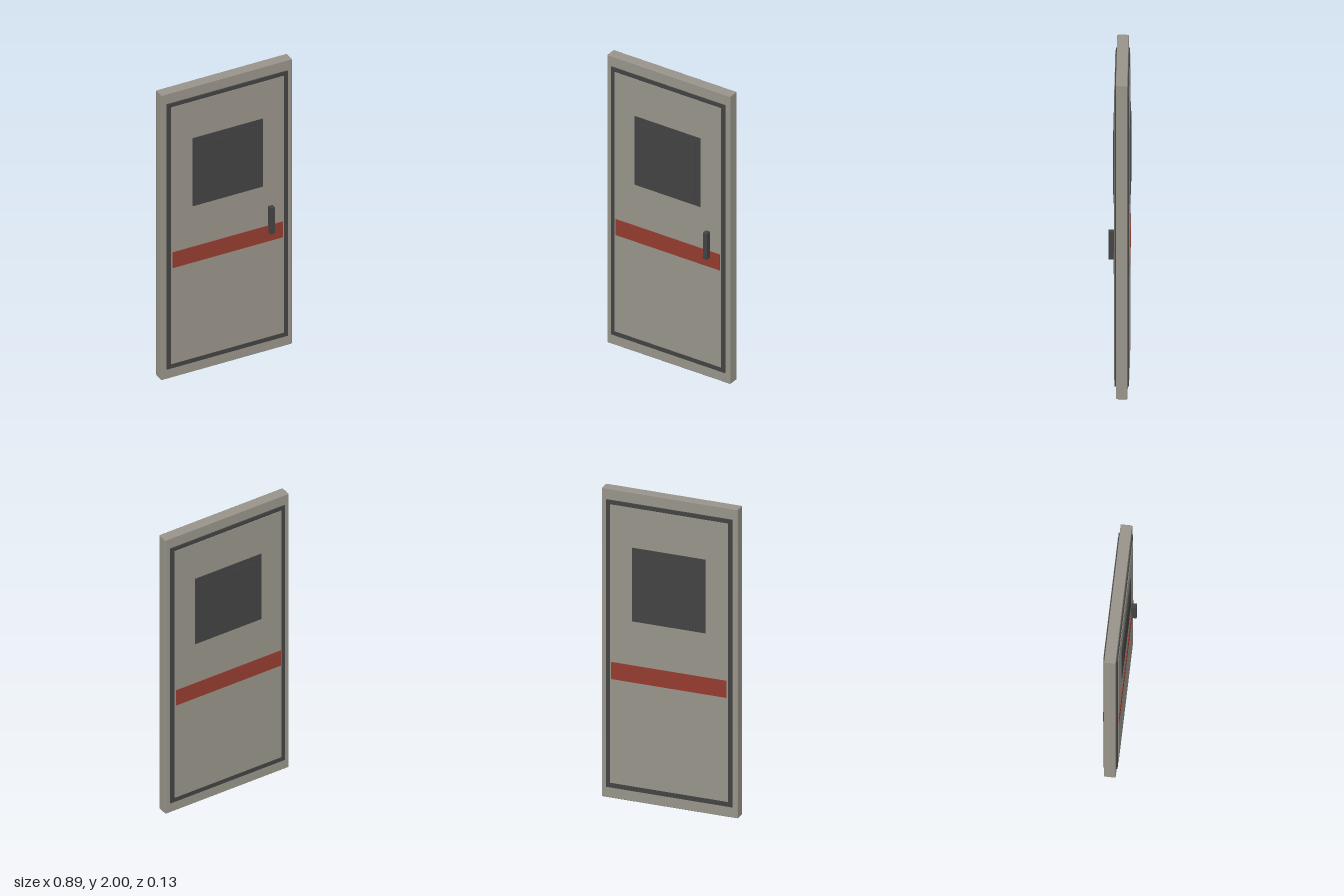
import * as THREE from 'three';
import { RoundedBoxGeometry } from 'three/addons/geometries/RoundedBoxGeometry.js';

export function createModel() {
  const door = new THREE.Group();
  door.name = 'door';
  const mat = (name, color) => {
    const m = new THREE.MeshStandardMaterial({ color });
    m.name = name;
    return m;
  };
  const grey = mat('warmGrey', 0x98948a);
  const dark = mat('charcoal', 0x434343);
  const red = mat('rustRed', 0x953c2f);

  const add = (parent, name, geometry, material, x, y, z) => {
    const mesh = new THREE.Mesh(geometry, material);
    mesh.name = name;
    mesh.position.set(x, y, z);
    parent.add(mesh);
  };

  // Main slab with slightly eased edges
  const slabZ = -0.015, half = 0.035;
  add(door, 'slab', new RoundedBoxGeometry(0.886, 2, half * 2, 1, 0.004), grey, 0, 1, slabZ);

  // Stepped plates on both faces: [name, width, bottom, top, height above slab, material]
  const plates = [
    ['trimPanel', 0.82, 0.07, 1.93, 0.008, dark],
    ['facePanel', 0.766, 0.102, 1.904, 0.011, grey],
    ['stripe', 0.75, 0.776, 0.886, 0.0145, red],
    ['windowFrame', 0.474, 1.172, 1.648, 0.0155, dark],
    ['windowPane', 0.39, 1.215, 1.605, 0.018, dark],
  ];
  for (const side of [1, -1]) {
    const face = new THREE.Group();
    face.name = side > 0 ? 'frontFace' : 'backFace';
    for (const [name, w, y0, y1, rise, material] of plates) {
      const depth = rise + 0.005; // sunk a little into the slab
      const z = slabZ + side * (half + rise - depth / 2);
      add(face, name, new THREE.BoxGeometry(w, y1 - y0, depth), material, 0, (y0 + y1) / 2, z);
    }
    door.add(face);
  }

  // Pull handle, front only
  add(door, 'handle', new RoundedBoxGeometry(0.03, 0.182, 0.035, 1, 0.002), dark, 0.29, 0.931, 0.0475);
  return door;
}
